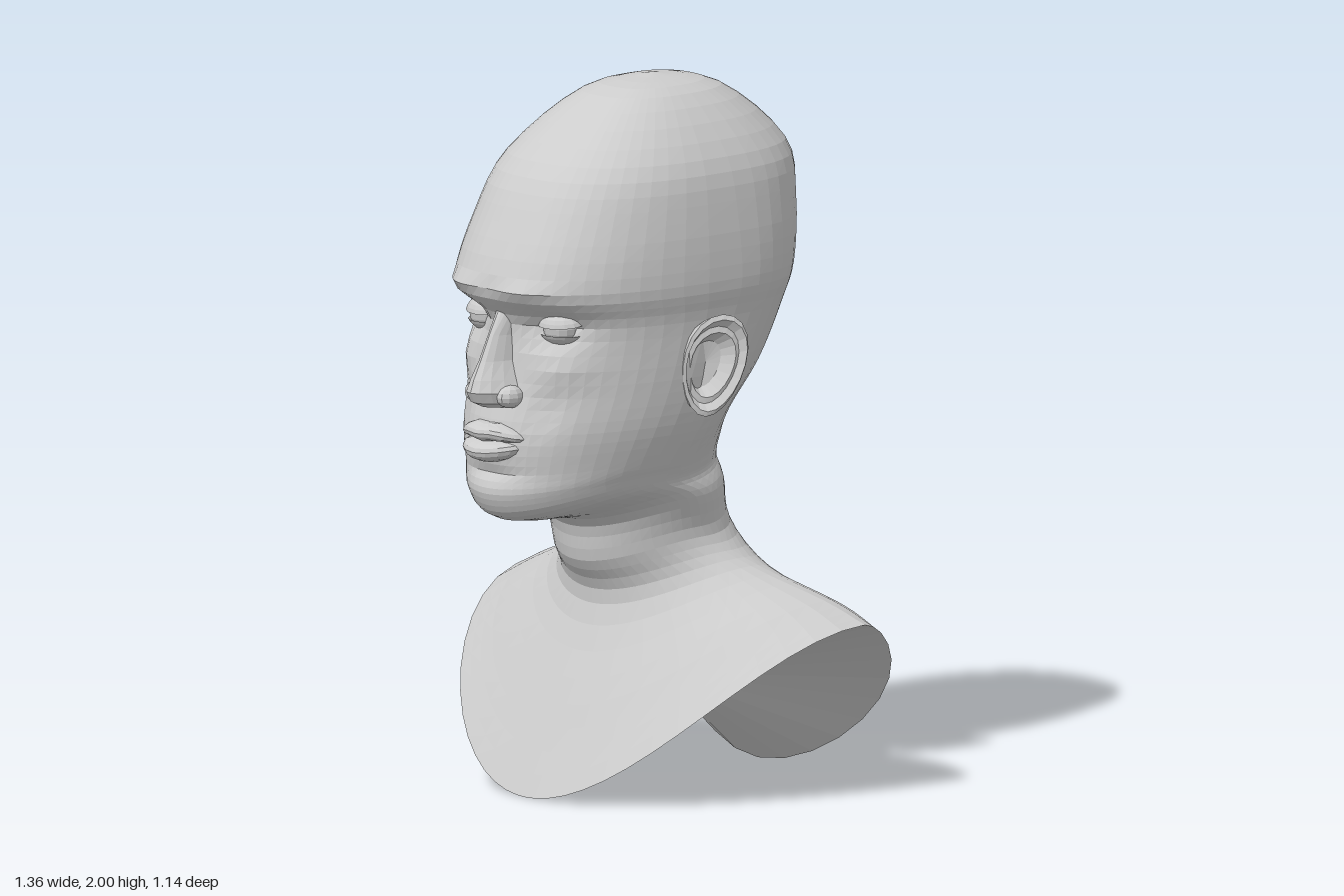
import * as THREE from 'three';

const V = (x, y, z) => new THREE.Vector3(x, y, z);

// Skin a list of equally long point rows (rows run downward, points run left to right).
function skin(rows) {
  const pos = [], idx = [], n = rows[0].length;
  rows.forEach(r => r.forEach(p => pos.push(p.x, p.y, p.z)));
  for (let i = 0; i < rows.length - 1; i++) {
    for (let j = 0; j < n - 1; j++) {
      const a = i * n + j, b = a + 1, c = a + n, d = c + 1;
      idx.push(a, c, b, b, c, d);
    }
  }
  const g = new THREE.BufferGeometry();
  g.setAttribute('position', new THREE.Float32BufferAttribute(pos, 3));
  g.setIndex(idx);
  g.computeVertexNormals();
  return g;
}

// Rings from crown to rim: front [y, z], side [x, y, z], back [y, z]
const RINGS = [
  [[2.0, -0.12], [0, 2.0, -0.12], [2.0, -0.12]],
  [[1.96, 0.09], [0.155, 1.96, -0.12], [1.96, -0.32]],
  [[1.8, 0.32], [0.3, 1.8, -0.12], [1.8, -0.505]],
  [[1.64, 0.43], [0.345, 1.64, -0.12], [1.64, -0.52]],
  [[1.465, 0.505], [0.363, 1.465, -0.12], [1.465, -0.495]],
  [[1.36, 0.445], [0.352, 1.36, -0.1], [1.36, -0.46]],
  [[1.2, 0.46], [0.345, 1.2, -0.03], [1.21, -0.39]],
  [[1.06, 0.5], [0.328, 1.07, 0.03], [1.08, -0.288]],
  [[0.94, 0.505], [0.297, 0.965, 0.08], [0.99, -0.282]],
  [[0.865, 0.505], [0.282, 0.925, 0.08], [0.96, -0.283]],
  [[0.8, 0.44], [0.272, 0.89, 0.07], [0.93, -0.285]],
  [[0.775, 0.21], [0.266, 0.84, -0.04], [0.88, -0.292]],
  [[0.65, 0.165], [0.252, 0.72, -0.09], [0.75, -0.32]],
  [[0.52, 0.107], [0.34, 0.635, -0.18], [0.55, -0.41]],
  [[0.25, 0.232], [0.55, 0.555, -0.265], [0.26, -0.535]],
  [[0, 0.36], [0.68, 0.5, -0.3], [0, -0.52]],
];

// Relief of the face: [x, y, spread x, spread y, depth], mirrored
const RELIEF = [
  [0.13, 1.46, 0.09, 0.025, 0.018],
  [0.155, 1.36, 0.075, 0.045, -0.045],
  [0.2, 1.24, 0.06, 0.05, 0.018],
  [0.16, 1.12, 0.04, 0.06, -0.012],
  [0, 0.945, 0.09, 0.022, -0.02],
];

function relief(x, y) {
  return RELIEF.reduce((s, [cx, cy, sx, sy, d]) =>
    s + d * Math.exp(-(((Math.abs(x) - cx) / sx) ** 2) - ((y - cy) / sy) ** 2), 0);
}

function bodyRows() {
  const curve = pts => new THREE.CatmullRomCurve3(pts, false, 'catmullrom', 0.5);
  const front = curve(RINGS.map(([f]) => V(0, ...f)));
  const side = curve(RINGS.map(([, s]) => V(...s)));
  const back = curve(RINGS.map(([, , b]) => V(0, ...b)));
  const steps = (RINGS.length - 1) * 4, half = 26, rows = [];
  for (let i = 0; i <= steps; i++) {
    const t = i / steps, F = front.getPoint(t), S = side.getPoint(t), B = back.getPoint(t);
    // sections grow squarer toward the skull, and the shoulder blades bulge toward the rim
    const e = 2 / (2 + 0.5 * THREE.MathUtils.smoothstep(S.y, 0.9, 1.5));
    const bulge = 0.1 * Math.max(0, 1 - F.y / 0.45);
    const row = [];
    for (let j = -half; j <= half; j++) {
      // columns run from the back, over the right side, front and left side, denser on the face
      const th = Math.sign(j) * Math.PI * Math.abs(j / half) ** 1.25;
      const s = Math.sin(th), c = Math.cos(th), E = c > 0 ? F : B;
      const x = S.x * Math.sign(s) * Math.abs(s) ** e;
      const y = E.y + (S.y - E.y) * s * s;
      let z = S.z + (E.z - S.z) * Math.abs(c) ** e;
      if (c < 0) z -= bulge * Math.sin(2 * th) ** 2;
      else if (z > 0.1) z += relief(x, y);
      row.push(V(x, y, z));
    }
    rows.push(row);
  }
  return rows;
}

// Nose: arched sections [y, half width, tip z]
function noseGeometry() {
  const sections = [[1.4, 0.035, 0.46], [1.33, 0.034, 0.497], [1.26, 0.045, 0.53], [1.21, 0.068, 0.556],
    [1.175, 0.085, 0.568], [1.145, 0.08, 0.552], [1.13, 0.06, 0.52], [1.125, 0, 0.44]];
  return skin(sections.map(([y, w, tip]) => {
    const row = [];
    for (let k = 0; k <= 10; k++) {
      const a = Math.PI * (1 - k / 10);
      row.push(V(w * Math.cos(a), y, 0.4 + (tip - 0.4) * Math.sin(a)));
    }
    return row;
  }));
}

// Lip: an ellipsoid bent around the jaw
function lipGeometry(w, h, d, droop, bow) {
  const g = new THREE.SphereGeometry(1, 16, 8).scale(w, h, d), p = g.attributes.position;
  for (let i = 0; i < p.count; i++) {
    const x = p.getX(i);
    p.setZ(i, p.getZ(i) - 2.2 * x * x);
    p.setY(i, p.getY(i) + droop * x * x - bow * Math.exp(-((x / 0.02) ** 2)));
  }
  g.computeVertexNormals();
  return g;
}

// Ear: rings from the skull over the rim into the hollow [scale, outward offset, flare]
function earGeometry() {
  const rings = [[0.72, -0.075, 0.5], [0.92, -0.025, 0.9], [1, 0, 1], [0.9, 0.006, 1],
    [0.76, -0.012, 0.9], [0.64, -0.008, 0.8], [0.45, -0.04, 0.5], [0, -0.045, 0]];
  return skin(rings.map(([k, out, flare]) => {
    const row = [];
    for (let j = 0; j <= 20; j++) {
      const a = j / 20 * Math.PI * 2, c = Math.cos(a), s = Math.sin(a);
      row.push(V(0.388 + out + flare * (0.014 * s - 0.045 * c),
        1.235 + k * 0.145 * s,
        k * (0.078 * (1 + 0.22 * s) * c - 0.02 * s)));
    }
    return row;
  }));
}

export function createModel() {
  const clay = new THREE.MeshStandardMaterial({ color: 0xcccccc });
  clay.name = 'grey clay';
  clay.flatShading = true;
  clay.side = THREE.DoubleSide;
  const model = new THREE.Group();
  model.name = 'bust';
  const add = (name, geometry, parent = model, x = 0, y = 0, z = 0) => {
    const m = new THREE.Mesh(geometry, clay);
    m.name = name;
    m.position.set(x, y, z);
    parent.add(m);
    return m;
  };

  // Head, neck and shoulders in one skin, with a hollow fan underneath
  const rows = bodyRows(), rim = rows[rows.length - 1];
  add('headAndShoulders', skin(rows));
  add('underside', skin([rim, rim.map(() => V(0, 0.29, -0.15))]));

  // Middle of the face
  add('nose', noseGeometry());
  add('upperLip', lipGeometry(0.118, 0.027, 0.05, -1.2, 0.005), model, 0, 1.063, 0.5);
  add('lowerLip', lipGeometry(0.105, 0.031, 0.055, 1.2, 0), model, 0, 1.005, 0.503);

  // Paired features, mirrored
  for (const sign of [1, -1]) {
    const half = new THREE.Group();
    half.name = sign > 0 ? 'leftFeatures' : 'rightFeatures';
    half.scale.x = sign;
    model.add(half);
    add('ear', earGeometry(), half);
    add('nostrilWing', new THREE.SphereGeometry(0.034, 10, 8).scale(0.95, 0.95, 1.3), half, 0.066, 1.163, 0.478);
    add('eyeball', new THREE.SphereGeometry(0.052, 14, 10), half, 0.152, 1.358, 0.362);
    const upper = add('upperLid', new THREE.SphereGeometry(0.058, 14, 6, 0, Math.PI * 2, 0, 1.4).scale(1.25, 0.9, 1),
      half, 0.152, 1.358, 0.362);
    upper.rotation.set(0.12, 0.2, 0);
    const lower = add('lowerLid', new THREE.SphereGeometry(0.057, 14, 6, 0, Math.PI * 2, 1.95, 1.19).scale(1.25, 0.9, 1),
      half, 0.152, 1.358, 0.362);
    lower.rotation.y = 0.2;
  }
  return model;
}
